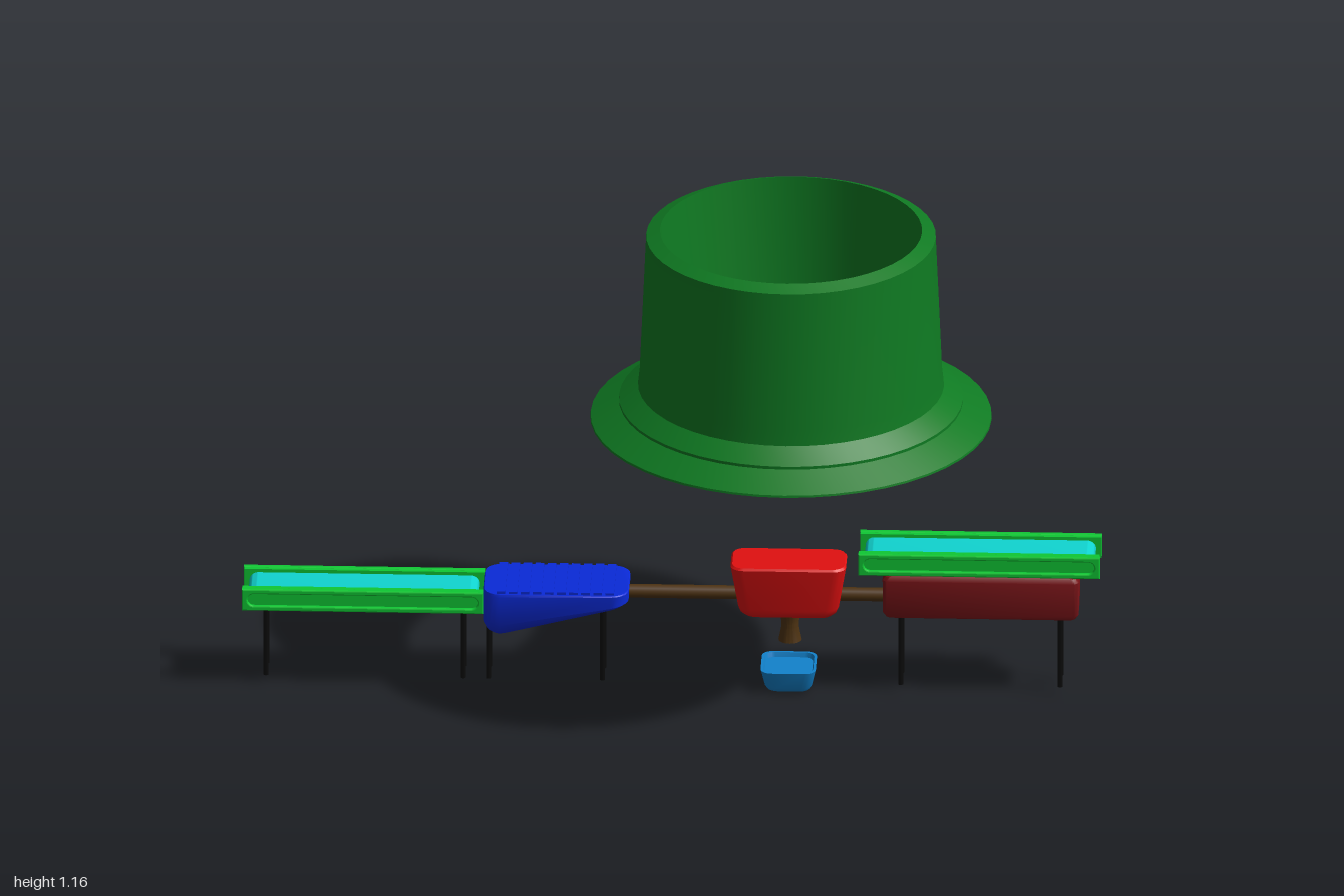
import * as THREE from 'three';
import { toCreasedNormals } from 'three/addons/utils/BufferGeometryUtils.js';

const mat = (color, side = THREE.FrontSide) => new THREE.MeshStandardMaterial({ color, side });
const M = {
  hood: mat(0x0f7a22, THREE.DoubleSide), rail: mat(0x0fc834), belt: mat(0x10d4d0), roller: mat(0x8a1078),
  blue: mat(0x0a2ad8), red: mat(0xe01010), maroon: mat(0x7a1418), brown: mat(0x4e3312),
  bowl: mat(0x1282cc), gear: mat(0xb8b814), leg: mat(0x0a0a0a),
};

function add(parent, name, geometry, material, x = 0, y = 0, z = 0) {
  const mesh = new THREE.Mesh(geometry, material);
  mesh.name = name;
  mesh.position.set(x, y, z);
  parent.add(mesh);
  return mesh;
}

// Closed body from stacked rounded rectangles: layers are [y, halfX, halfZ, cornerRadius], listed upwards
function tub(layers, warp) {
  const pos = [], index = [], per = 6, n = per * 4;
  for (const [y, hx, hz, r] of layers) {
    for (let i = 0; i < n; i++) {
      const c = Math.floor(i / per), a = (c + (i % per) / (per - 1)) * Math.PI / 2;
      const sx = c === 0 || c === 3 ? 1 : -1, sz = c < 2 ? 1 : -1;
      pos.push(sx * (hx - r) + r * Math.cos(a), y, sz * (hz - r) + r * Math.sin(a));
    }
  }
  for (let k = 0; k < layers.length - 1; k++) {
    for (let i = 0; i < n; i++) {
      const a = k * n + i, b = k * n + (i + 1) % n;
      index.push(a, a + n, b, b, a + n, b + n);
    }
  }
  const top = (layers.length - 1) * n;
  for (let i = 1; i < n - 1; i++) {
    index.push(0, i, i + 1);
    index.push(top, top + i + 1, top + i);
  }
  if (warp) {
    for (let i = 0; i < pos.length; i += 3) pos[i + 1] = warp(pos[i], pos[i + 1]);
  }
  const g = new THREE.BufferGeometry();
  g.setAttribute('position', new THREE.Float32BufferAttribute(pos, 3));
  g.setIndex(index);
  return toCreasedNormals(g, 0.6);
}

// Outline with half circles at both ends
function capsule(shape, length, height) {
  const r = height / 2, h = length / 2 - r;
  shape.moveTo(-h, -r);
  shape.lineTo(h, -r);
  shape.absarc(h, 0, r, -Math.PI / 2, Math.PI / 2, false);
  shape.lineTo(-h, r);
  shape.absarc(-h, 0, r, Math.PI / 2, Math.PI * 1.5, false);
  return shape;
}

function legs(parent, xs, top) {
  for (const x of xs) {
    for (const z of [-0.034, 0.034]) {
      add(parent, 'leg', new THREE.CylinderGeometry(0.006, 0.006, top - 0.02, 10), M.leg, x, (top + 0.02) / 2, z);
    }
  }
}

function conveyor(name, x, y) {
  const group = new THREE.Group(), length = 0.562, height = 0.054;
  group.name = name;
  group.position.set(x, y, 0);
  // Side rails: a frame with a long slot over an inner plate
  const hx = length / 2 - 0.003, hy = height / 2 - 0.003;
  const frame = new THREE.Shape([[-hx, -hy], [hx, -hy], [hx, hy], [-hx, hy]].map(p => new THREE.Vector2(...p)));
  frame.holes.push(capsule(new THREE.Path(), length - 0.02, 0.036));
  const frameGeo = new THREE.ExtrudeGeometry(frame, {
    depth: 0.009, bevelThickness: 0.003, bevelSize: 0.003, bevelSegments: 2, curveSegments: 10,
  });
  for (const s of [-1, 1]) {
    add(group, 'sideRail', frameGeo, M.rail, 0, 0, s > 0 ? 0.061 : -0.070);
    add(group, 'railPlate', new THREE.BoxGeometry(length - 0.002, height - 0.002, 0.016), M.rail, 0, 0, s * 0.056);
  }
  // Belt loop with round ends
  const beltGeo = new THREE.ExtrudeGeometry(capsule(new THREE.Shape(), 0.535, 0.04), {
    depth: 0.1, bevelEnabled: false, curveSegments: 12,
  });
  add(group, 'belt', toCreasedNormals(beltGeo, 0.6), M.belt, 0, -0.002, -0.05);
  // Roller ends along the back rail
  for (let i = 0; i < 9; i++) {
    const roller = add(group, 'rollerEnd', new THREE.CylinderGeometry(0.015, 0.015, 0.01, 16), M.roller, -0.24 + i * 0.06, 0, -0.066);
    roller.rotation.x = Math.PI / 2;
  }
  return group;
}

export function createModel() {
  const model = new THREE.Group();
  model.name = 'processingLine';

  // Extraction hood: flared, open ring
  const hoodProfile = [
    [0.275, 0.80], [0.30, 0.765], [0.38, 0.72], [0.455, 0.688], [0.467, 0.683], [0.466, 0.688], [0.40, 0.725],
    [0.40, 0.732], [0.356, 0.765], [0.352, 0.80], [0.337, 1.143], [0.305, 1.156], [0.275, 0.80],
  ].map(p => new THREE.Vector2(...p));
  add(model, 'hood', toCreasedNormals(new THREE.LatheGeometry(hoodProfile, 48), 0.4), M.hood, 0.275, 0, 0);

  // Conveyors
  model.add(conveyor('outfeedConveyor', -0.719, 0.225));
  model.add(conveyor('infeedConveyor', 0.715, 0.338));
  legs(model, [-0.945, -0.487], 0.202);

  // Blue collecting hopper with a sloping floor and ribbed top
  const slope = (x, y) => 0.256 - (0.256 - y) * (1 - 0.70 * THREE.MathUtils.clamp((x + 0.14) / 0.31, 0, 1));
  const hopper = add(model, 'collectingHopper', tub([
    [0.138, 0.125, 0.05, 0.03], [0.144, 0.148, 0.068, 0.035], [0.156, 0.161, 0.081, 0.038],
    [0.175, 0.169, 0.089, 0.04], [0.25, 0.169, 0.091, 0.04], [0.256, 0.167, 0.089, 0.04],
  ], slope), M.blue, -0.27, 0, 0);
  for (let i = 0; i < 10; i++) {
    add(hopper, 'topRib', new THREE.BoxGeometry(0.02, 0.01, 0.168), M.blue, -0.126 + i * 0.028, 0.257, 0);
  }
  legs(model, [-0.427, -0.162], 0.21);

  // Connecting pipes
  for (const [x, length] of [[0.02, 0.28], [0.45, 0.14]]) {
    const pipe = add(model, 'pipe', new THREE.CylinderGeometry(0.016, 0.016, length, 16), M.brown, x, 0.232, 0);
    pipe.rotation.z = Math.PI / 2;
  }

  // Red mixing tank
  add(model, 'mixingTank', tub([
    [0.186, 0.09, 0.035, 0.025], [0.189, 0.104, 0.044, 0.03], [0.197, 0.113, 0.049, 0.03],
    [0.21, 0.118, 0.052, 0.03], [0.314, 0.135, 0.063, 0.03], [0.319, 0.131, 0.059, 0.028],
  ]), M.red, 0.27, 0, 0);

  // Outlet spout under the tank
  const spout = [[0, 0.115], [0.027, 0.115], [0.02, 0.15], [0.02, 0.16], [0.027, 0.19], [0, 0.19]];
  add(model, 'spout', toCreasedNormals(new THREE.LatheGeometry(spout.map(p => new THREE.Vector2(...p)), 20), 0.5), M.brown, 0.272, 0, 0);

  // Catch bowl with a recessed top
  add(model, 'catchBowl', tub([
    [0, 0.042, 0.042, 0.02], [0.004, 0.05, 0.05, 0.024], [0.014, 0.056, 0.056, 0.026],
    [0.055, 0.065, 0.065, 0.026], [0.055, 0.059, 0.059, 0.024], [0.044, 0.056, 0.056, 0.022],
  ]), M.bowl, 0.27, 0, 0);

  // Drive housing with a row of gears on its back
  add(model, 'driveHousing', tub([
    [0.192, 0.208, 0.042, 0.01], [0.196, 0.22, 0.05, 0.012], [0.206, 0.227, 0.054, 0.014],
    [0.292, 0.228, 0.061, 0.014], [0.302, 0.222, 0.057, 0.012], [0.307, 0.21, 0.05, 0.01],
  ]), M.maroon, 0.718, 0, 0);
  legs(model, [0.532, 0.902], 0.21);
  const gear = new THREE.Shape();
  for (let i = 0; i < 24; i++) {
    const a = i * Math.PI / 12, r = i % 2 ? 0.021 : 0.032;
    gear[i ? 'lineTo' : 'moveTo'](r * Math.cos(a), r * Math.sin(a));
  }
  gear.holes.push(new THREE.Path().absarc(0, 0, 0.006, 0, Math.PI * 2, true));
  const gearGeo = new THREE.ExtrudeGeometry(gear, { depth: 0.01, bevelEnabled: false, curveSegments: 8 });
  for (let i = 0; i < 4; i++) {
    add(model, 'gear', gearGeo, M.gear, 0.585 + i * 0.095, 0.248, -0.064);
  }

  return model;
}
